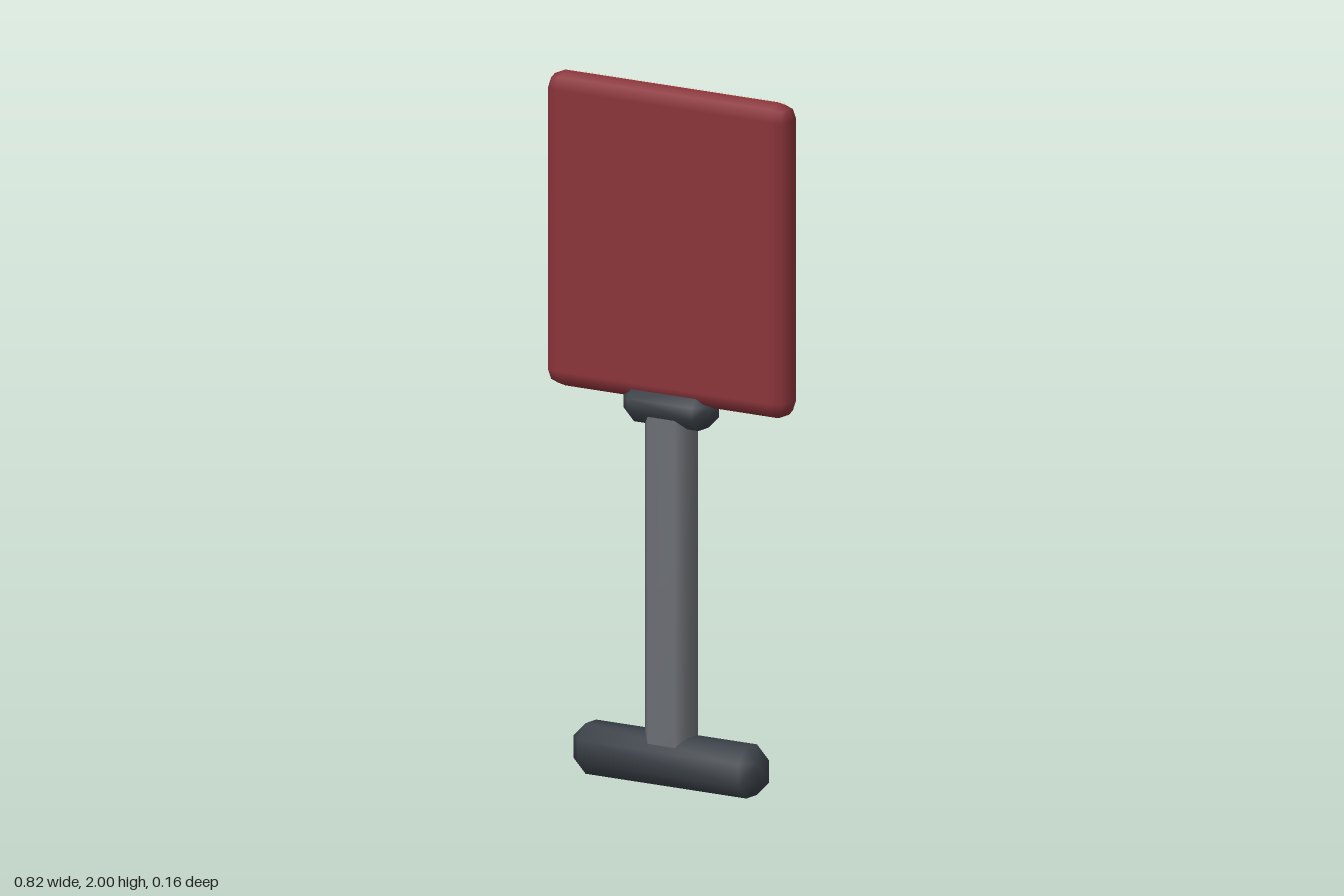
import * as THREE from 'three';
import { mergeVertices } from 'three/addons/utils/BufferGeometryUtils.js';
import { ConvexGeometry } from 'three/addons/geometries/ConvexGeometry.js';
import { RoundedBoxGeometry } from 'three/addons/geometries/RoundedBoxGeometry.js';

const paint = (color) => new THREE.MeshStandardMaterial({ color });

// Box with one flat bevel on every edge, shaded smoothly
function bevelBox(w, h, d, c) {
  const points = [];
  for (const sx of [-1, 1]) for (const sy of [-1, 1]) for (const sz of [-1, 1]) {
    const x = w / 2, y = h / 2, z = d / 2;
    for (const [px, py, pz] of [[x, y - c, z - c], [x - c, y, z - c], [x - c, y - c, z]]) {
      points.push(new THREE.Vector3(sx * px, sy * py, sz * pz));
    }
  }
  const hull = new ConvexGeometry(points);
  hull.deleteAttribute('normal');
  const geometry = mergeVertices(hull);
  geometry.computeVertexNormals();
  return geometry;
}

export function createModel() {
  const group = new THREE.Group();
  const maroon = paint(0x8a343a);
  const red = paint(0xc44444);
  const cream = paint(0xdcd8cc);
  const dark = paint(0x3a4047);
  const steel = paint(0x6b6e74);

  const add = (name, geometry, material, x, y, z) => {
    const mesh = new THREE.Mesh(geometry, material);
    mesh.name = name;
    mesh.position.set(x, y, z);
    group.add(mesh);
    return mesh;
  };

  // Stand: foot, post and the bracket under the panel
  add('foot', bevelBox(0.62, 0.145, 0.133, 0.04), dark, 0, 0.0725, 0.0135);
  add('post', bevelBox(0.14, 1.02, 0.105, 0.025), steel, 0, 0.59, 0.0125);
  add('bracket', bevelBox(0.286, 0.107, 0.122, 0.035), dark, 0, 1.0845, 0.013);

  // Panel with softly rounded edges
  add('panel', new RoundedBoxGeometry(0.816, 0.905, 0.1, 1, 0.05), maroon, 0, 1.5475, 0.01);

  // Alternating slats across the back
  const slat = bevelBox(0.69, 0.114, 0.022, 0.01);
  for (let i = 0; i < 6; i++) {
    add('slat' + (i + 1), slat, i % 2 ? red : cream, 0, 1.928 - 0.15 * i, -0.051);
  }

  // Round badge on the slats: rim plate and raised centre
  const disc = (name, r, depth, material, z) => {
    add(name, new THREE.CylinderGeometry(r, r, depth, 20), material, 0, 1.552, z).rotation.set(Math.PI / 2, Math.PI / 2, 0);
  };
  disc('badgeRim', 0.213, 0.02, maroon, -0.063);
  disc('badgeCentre', 0.16, 0.02, cream, -0.073);

  return group;
}
